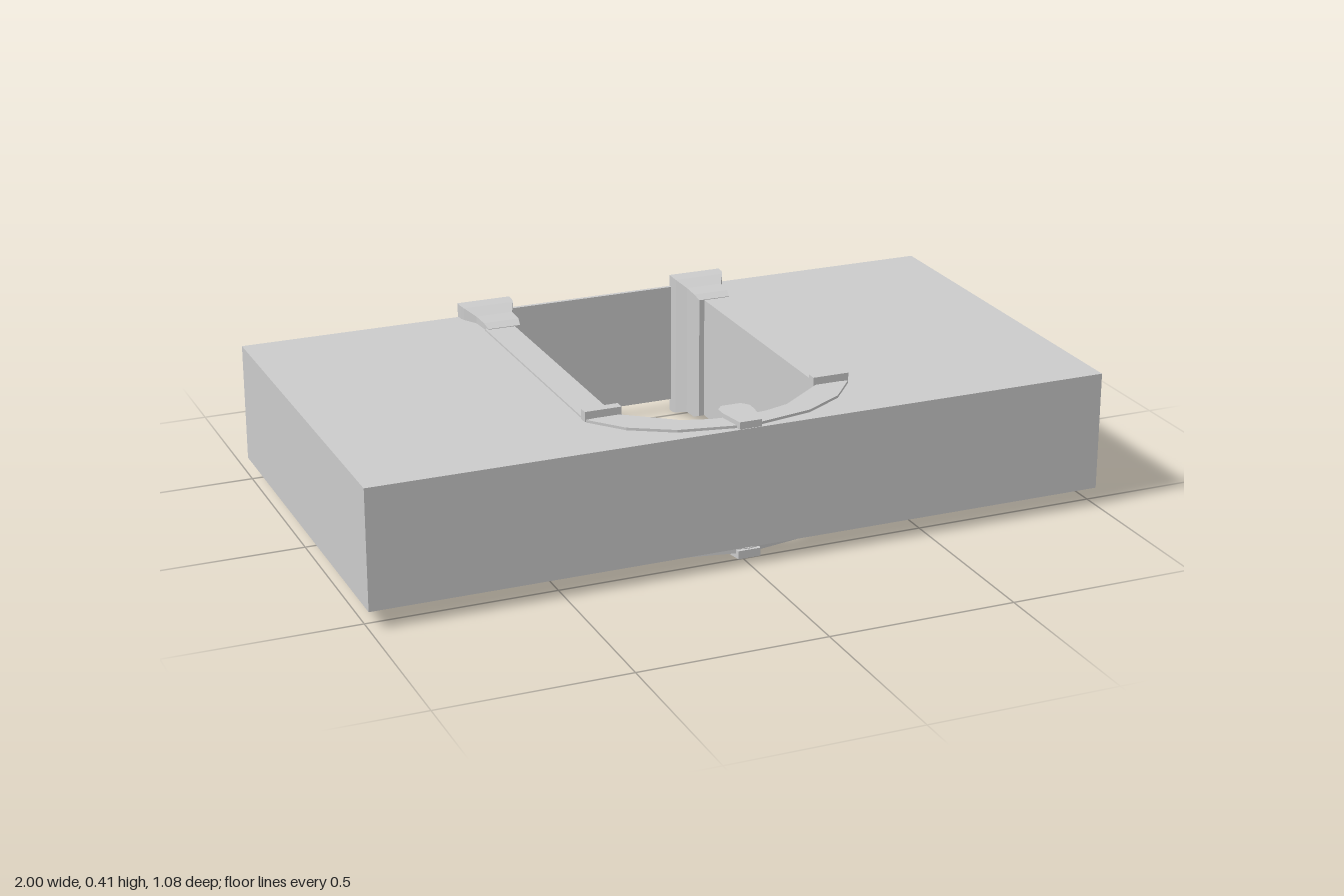
import * as THREE from 'three';

const mat = new THREE.MeshStandardMaterial({ color: 0xcccccc, flatShading: true, side: THREE.DoubleSide });
const MID = 0.2025; // height of the horizontal mirror plane
const BACK = -0.535, FRONT = 0.54;

function add(parent, name, geometry) {
  const mesh = new THREE.Mesh(geometry, mat);
  mesh.name = name;
  parent.add(mesh);
  return mesh;
}

// Box from its minimum and maximum corners
function box(x0, x1, y0, y1, z0, z1) {
  return new THREE.BoxGeometry(x1 - x0, y1 - y0, z1 - z0)
    .translate((x0 + x1) / 2, (y0 + y1) / 2, (z0 + z1) / 2);
}

// Non-indexed geometry from quads of four corners
function quads(list) {
  const pos = [];
  for (const [a, b, c, d] of list) pos.push(...a, ...b, ...c, ...a, ...c, ...d);
  const g = new THREE.BufferGeometry();
  g.setAttribute('position', new THREE.Float32BufferAttribute(pos, 3));
  g.computeVertexNormals();
  return g;
}

// Upright wall along an (x, z) path
function wall(path, y0, y1) {
  return quads(path.slice(1).map(([x, z], i) => {
    const [px, pz] = path[i];
    return [[px, y0, pz], [x, y0, z], [x, y1, z], [px, y1, pz]];
  }));
}

// Flat (x, z) outline, extruded down from height y if depth is given
function plate(points, y, depth = 0) {
  const shape = new THREE.Shape(points.map(p => new THREE.Vector2(...p)));
  const g = depth
    ? new THREE.ExtrudeGeometry(shape, { depth, bevelEnabled: false })
    : new THREE.ShapeGeometry(shape);
  return g.rotateX(Math.PI / 2).translate(0, y, 0);
}

// Rectangular sections [x0, x1, half height, z] joined in order, closed at both ends
function loft(sections) {
  const rings = sections.map(([x0, x1, h, z]) =>
    [[x0, MID - h, z], [x1, MID - h, z], [x1, MID + h, z], [x0, MID + h, z]]);
  const list = [[...rings[0]]];
  for (let i = 1; i < rings.length; i++) {
    for (let k = 0; k < 4; k++) {
      const n = (k + 1) % 4;
      list.push([rings[i - 1][k], rings[i][k], rings[i][n], rings[i - 1][n]]);
    }
  }
  list.push([...rings[rings.length - 1]].reverse());
  return quads(list);
}

// Completes a right-hand half outline with its mirror image
const mirrorPath = half => [...half, ...half.slice().reverse().filter(p => p[0] !== 0).map(([x, z]) => [-x, z])];

export function createModel() {
  const model = new THREE.Group();
  model.name = 'recessedWall';

  const arcInner = [[0.28, 0.335], [0.145, 0.438], [0.075, 0.46], [0, 0.467]];
  const arcOuter = [[0.362, 0.345], [0.29, 0.433], [0.18, 0.497], [0, 0.532]];
  const opening = mirrorPath([[0.28, BACK], ...arcInner]);

  // Hollow slab, open at the back, with a U-shaped opening
  const outside = [[-1, BACK], [-1, FRONT], [1, FRONT], [1, BACK]];
  const y0 = 0.048, y1 = 0.368;
  add(model, 'slabWalls', wall(outside, y0, y1));
  add(model, 'slabTop', plate([...outside, ...opening], y1));
  add(model, 'slabBottom', plate([...outside, ...opening], y0));
  add(model, 'openingLining', wall(opening, 0.036, 0.373));

  // Thin panel closing the back of the opening
  add(model, 'backPanel', box(-0.25, 0.25, 0.036, 0.373, -0.543, -0.532));

  // Trim on both faces
  for (const side of [1, -1]) {
    const trim = new THREE.Group();
    trim.name = side > 0 ? 'topTrim' : 'bottomTrim';
    trim.scale.y = side;
    trim.position.y = side > 0 ? 0 : 2 * MID;
    model.add(trim);

    add(trim, 'archTrim', plate(
      [...mirrorPath(arcInner), ...mirrorPath(arcOuter).reverse()], 0.375, 0.012));

    // Keystone with two short legs hanging into the opening
    add(trim, 'keystone', plate(mirrorPath(
      [[0.027, 0.415], [0.043, 0.435], [0.043, 0.465], [0.03, 0.538]]), 0.387, 0.022));
    for (const s of [1, -1]) {
      const x = s * 0.033;
      add(trim, 'keystoneLeg', box(x - 0.007, x + 0.007, 0.27, 0.37, 0.425, 0.462));
      const a = s * 0.28, b = s * 0.362;
      add(trim, 'sideTrim', box(Math.min(a, b), Math.max(a, b), 0.364, 0.373, -0.4, 0.335));
    }
  }

  // Clips and end posts on both sides of the opening
  for (const s of [1, -1]) {
    const jamb = new THREE.Group();
    jamb.name = s > 0 ? 'leftJamb' : 'rightJamb';
    jamb.scale.x = s;
    model.add(jamb);

    add(jamb, 'clipTop', box(0.265, 0.364, 0.365, 0.395, 0.315, 0.342));
    add(jamb, 'clipBottom', box(0.265, 0.364, 0.02, 0.045, 0.315, 0.342));
    add(jamb, 'clipUpright', box(0.265, 0.282, 0.04, 0.37, 0.315, 0.342));

    // Stepped post, recessed at the back
    add(jamb, 'endPost', loft([
      [0.265, 0.355, 0.172, -0.39], [0.26, 0.36, 0.182, -0.415],
      [0.26, 0.363, 0.185, -0.465], [0.243, 0.385, 0.199, -0.505],
      [0.24, 0.39, 0.202, -0.52], [0.24, 0.39, 0.2025, -0.543],
      [0.252, 0.378, 0.19, -0.543], [0.258, 0.372, 0.172, -0.515]]));
  }

  return model;
}
